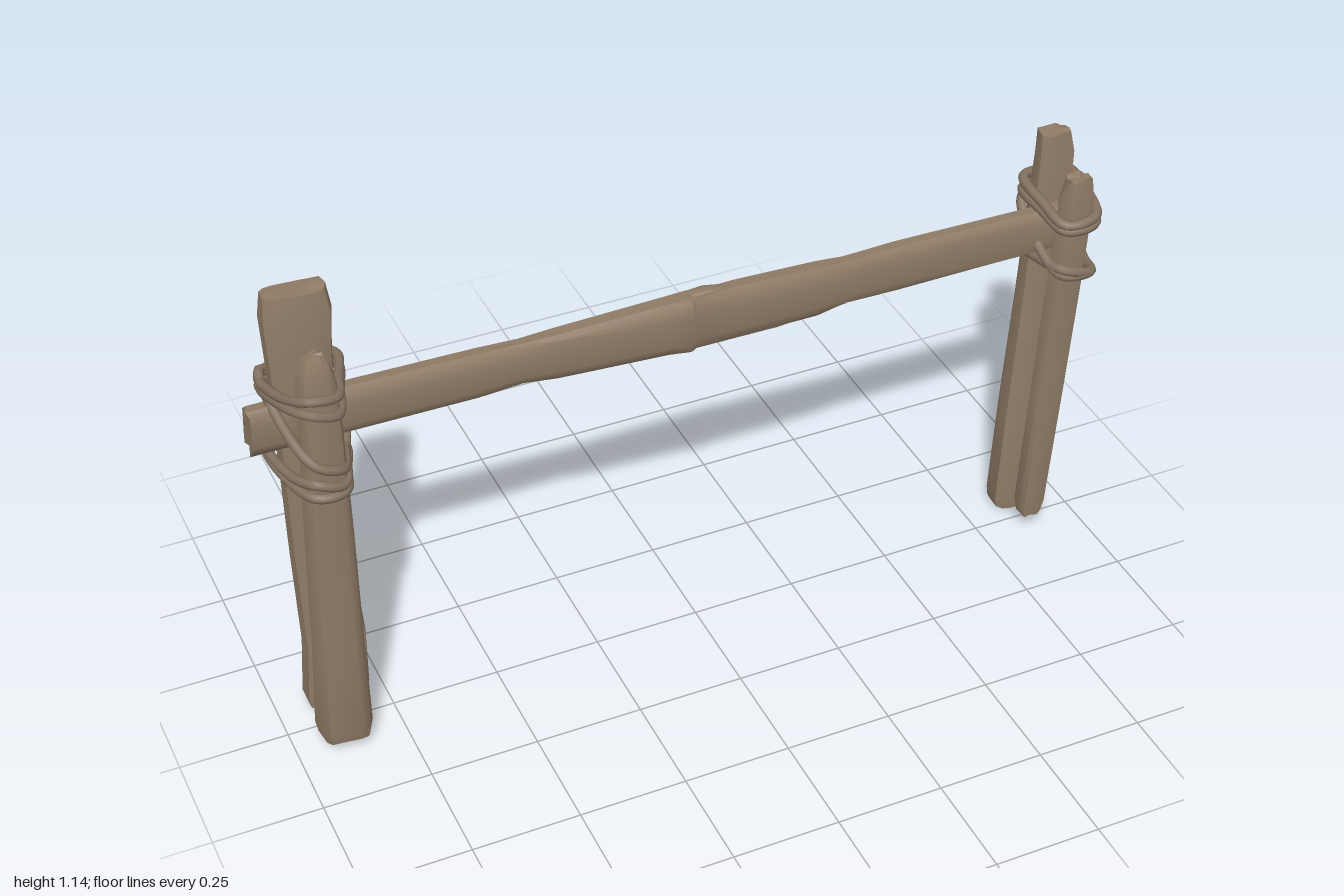
import * as THREE from 'three';
import { toCreasedNormals } from 'three/addons/utils/BufferGeometryUtils.js';

function seeded(seed) {
  let s = seed;
  return () => (s = (s * 16807) % 2147483647) / 2147483647;
}

// Rough timber from stations [along, u, v, sizeU, sizeV].
// Upright timber: along = y, u = x, v = z. Lying timber: along = x, u = z, v = y.
function timber(stations, lying, seed, sides = 12) {
  const rand = seeded(seed * 7919 + 13);
  for (let i = 0; i < 8; i++) rand();
  const grain = Array.from({ length: sides }, () => 0.9 + rand() * 0.12);
  const place = (s, u, v) => (lying ? [s, v, u] : [u, s, v]);
  const pos = [], idx = [];
  const squash = (t) => Math.sign(t) * Math.pow(Math.abs(t), 0.55);
  stations.forEach(([s, u, v, su, sv], i) => {
    const end = i === 0 || i === stations.length - 1;
    for (let j = 0; j < sides; j++) {
      const a = (j / sides) * Math.PI * 2 + 0.2;
      const r = grain[j] * (0.98 + rand() * 0.05) * 0.53;
      const ds = end ? (rand() - 0.5) * 0.012 : 0;
      pos.push(...place(s + ds, u + squash(Math.cos(a)) * su * r, v + squash(Math.sin(a)) * sv * r));
    }
  });
  for (let i = 0; i < stations.length - 1; i++) {
    for (let j = 0; j < sides; j++) {
      const a = i * sides + j, b = i * sides + ((j + 1) % sides);
      idx.push(a, a + sides, b, b, a + sides, b + sides);
    }
  }
  // end caps
  const last = (stations.length - 1) * sides;
  const c0 = pos.length / 3;
  pos.push(...place(...stations[0].slice(0, 3)), ...place(...stations.at(-1).slice(0, 3)));
  for (let j = 0; j < sides; j++) {
    const k = (j + 1) % sides;
    idx.push(c0, j, k, c0 + 1, last + k, last + j);
  }
  const g = new THREE.BufferGeometry();
  g.setAttribute('position', new THREE.Float32BufferAttribute(pos, 3));
  g.setIndex(idx);
  return toCreasedNormals(g, 0.6);
}

// Closed rope round an outline of [x, z], with one height per outline point
function ropeLoop(outline, heights, radius = 0.011) {
  const pts = outline.map(([x, z], i) => new THREE.Vector3(x, heights[i], z));
  const curve = new THREE.CatmullRomCurve3(pts, true, 'centripetal');
  return new THREE.TubeGeometry(curve, 64, radius, 8, true);
}

export function createModel() {
  const root = new THREE.Group();
  const wood = new THREE.MeshStandardMaterial({ color: 0x8f7b66 });
  wood.name = 'weathered wood';
  const cord = new THREE.MeshStandardMaterial({ color: 0x857362 });
  cord.name = 'rope';
  const add = (name, geometry, material) => {
    const m = new THREE.Mesh(geometry, material);
    m.name = name;
    root.add(m);
  };

  // Crossbar, swelling to a broken step in the middle
  add('crossbar', timber([
    [-1, -0.03, 0.842, 0.052, 0.11], [-0.8, -0.028, 0.842, 0.052, 0.112],
    [-0.5, -0.024, 0.842, 0.052, 0.108], [-0.4, -0.022, 0.845, 0.05, 0.1],
    [-0.32, -0.02, 0.842, 0.056, 0.112], [-0.06, -0.018, 0.838, 0.064, 0.13],
    [-0.01, -0.016, 0.838, 0.066, 0.138], [0.0, -0.017, 0.838, 0.058, 0.128],
    [0.1, -0.018, 0.838, 0.06, 0.13], [0.3, -0.018, 0.835, 0.058, 0.122],
    [0.37, -0.02, 0.836, 0.05, 0.106], [0.5, -0.022, 0.835, 0.052, 0.112],
    [0.75, -0.026, 0.832, 0.05, 0.108], [0.92, -0.028, 0.83, 0.05, 0.106],
  ], true, 3), wood);
  // Splintered bark along the bar
  add('upperSplinter', timber([
    [-0.02, -0.02, 0.9, 0.03, 0.014], [0.03, -0.02, 0.902, 0.03, 0.018], [0.1, -0.02, 0.894, 0.02, 0.01],
  ], true, 5, 8), wood);
  add('lowerSplinter', timber([
    [-0.3, -0.018, 0.788, 0.03, 0.01], [-0.04, -0.018, 0.778, 0.045, 0.016],
    [0.2, -0.018, 0.776, 0.045, 0.016], [0.37, -0.018, 0.782, 0.025, 0.01],
  ], true, 6, 8), wood);

  // Right support: wide rear plank, front post and thin stave
  add('rightRearPlank', timber([
    [0.018, -0.865, -0.062, 0.125, 0.07], [0.05, -0.862, -0.062, 0.142, 0.076],
    [0.2, -0.855, -0.062, 0.135, 0.076], [0.45, -0.866, -0.064, 0.126, 0.074],
    [0.75, -0.868, -0.066, 0.124, 0.072], [0.98, -0.868, -0.068, 0.136, 0.074],
    [1.08, -0.866, -0.07, 0.146, 0.07], [1.132, -0.866, -0.072, 0.13, 0.058],
  ], false, 8), wood);
  add('rightFrontPost', timber([
    [0.028, -0.886, 0.062, 0.1, 0.092], [0.06, -0.886, 0.064, 0.11, 0.098],
    [0.3, -0.884, 0.072, 0.1, 0.08], [0.6, -0.88, 0.078, 0.094, 0.066],
    [0.85, -0.876, 0.078, 0.084, 0.062], [1.0, -0.877, 0.078, 0.076, 0.058],
    [1.045, -0.877, 0.077, 0.058, 0.046], [1.07, -0.877, 0.076, 0.036, 0.026],
  ], false, 9), wood);
  add('rightStave', timber([
    [0.14, -0.845, 0.004, 0.035, 0.016], [0.25, -0.845, 0.01, 0.045, 0.03],
    [0.6, -0.85, 0.018, 0.05, 0.036], [0.95, -0.855, 0.022, 0.05, 0.038],
    [1.018, -0.856, 0.022, 0.035, 0.028],
  ], false, 11), wood);

  // Left support: leaning rear plank and front post
  add('leftRearPlank', timber([
    [0.008, 0.884, -0.062, 0.108, 0.07], [0.04, 0.884, -0.062, 0.118, 0.076],
    [0.3, 0.898, -0.068, 0.112, 0.07], [0.6, 0.914, -0.074, 0.1, 0.064],
    [0.85, 0.925, -0.08, 0.088, 0.058], [0.99, 0.932, -0.084, 0.084, 0.05],
    [1.045, 0.928, -0.086, 0.072, 0.042],
  ], false, 13), wood);
  add('leftFrontPost', timber([
    [0.045, 0.872, 0.034, 0.05, 0.046], [0.08, 0.873, 0.034, 0.062, 0.052],
    [0.4, 0.888, 0.042, 0.07, 0.05], [0.7, 0.903, 0.047, 0.074, 0.05],
    [0.95, 0.915, 0.052, 0.07, 0.05], [1.0, 0.917, 0.053, 0.054, 0.038],
  ], false, 14), wood);
  add('leftPostSplit', timber([
    [0.07, 0.894, 0.012, 0.03, 0.024], [0.5, 0.922, 0.016, 0.036, 0.028], [0.72, 0.93, 0.018, 0.03, 0.024],
  ], false, 15, 8), wood);

  // Rope lashings: outlines run back-outer, back-inner, inner, front, outer
  const rightOutline = [[-0.945, -0.105], [-0.86, -0.115], [-0.79, -0.075], [-0.815, 0.03], [-0.845, 0.11], [-0.905, 0.115], [-0.94, 0.03]];
  const leftOutline = [[0.985, -0.115], [0.915, -0.122], [0.862, -0.095], [0.858, 0.0], [0.875, 0.08], [0.95, 0.08], [0.98, 0.0]];
  const rightHeights = [
    [0.92, 0.94, 0.95, 0.96, 0.975, 0.985, 0.95],
    [0.9, 0.92, 0.925, 0.93, 0.93, 0.95, 0.93],
    [0.93, 0.85, 0.76, 0.77, 0.79, 0.82, 0.87],
    [0.75, 0.8, 0.78, 0.76, 0.75, 0.77, 0.75],
    [0.73, 0.72, 0.715, 0.72, 0.73, 0.735, 0.73],
  ];
  const leftHeights = [
    [0.915, 0.92, 0.93, 0.92, 0.9, 0.905, 0.91],
    [0.885, 0.89, 0.9, 0.9, 0.885, 0.885, 0.885],
    [0.84, 0.89, 0.87, 0.8, 0.765, 0.755, 0.74],
    [0.76, 0.75, 0.755, 0.77, 0.78, 0.755, 0.735],
  ];
  rightHeights.forEach((h, i) => add('rightLashing' + (i + 1), ropeLoop(rightOutline, h), cord));
  leftHeights.forEach((h, i) => add('leftLashing' + (i + 1), ropeLoop(leftOutline, h, 0.012), cord));
  return root;
}
